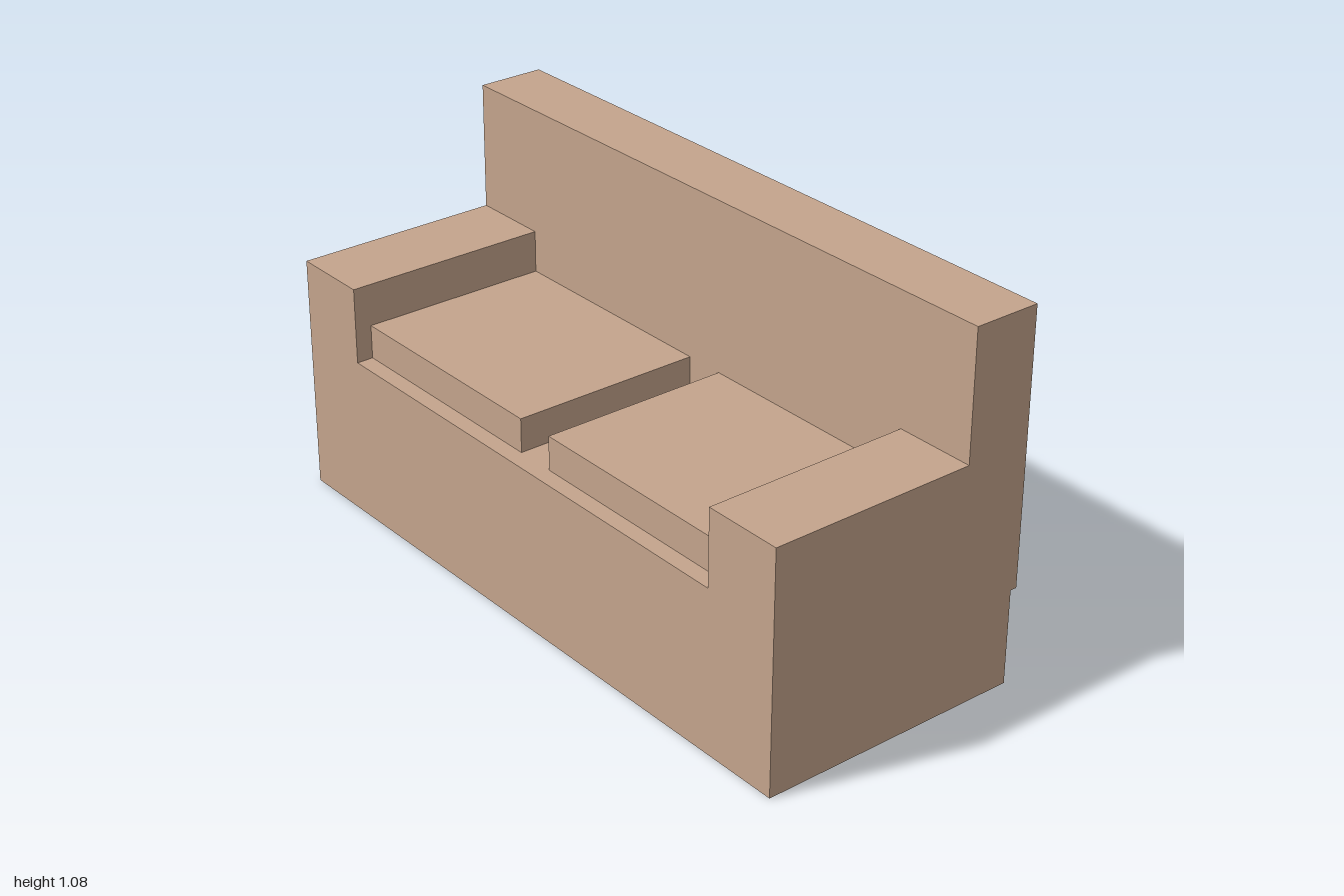
import * as THREE from 'three';

export function createModel() {
  const sofa = new THREE.Group();
  sofa.name = 'sofa';
  const fabric = new THREE.MeshStandardMaterial({ color: 0xc4a48c });
  fabric.name = 'tan fabric';

  // Box given by its minimum and maximum corners
  function box(name, [x0, y0, z0], [x1, y1, z1]) {
    const geometry = new THREE.BoxGeometry(x1 - x0, y1 - y0, z1 - z0);
    const mesh = new THREE.Mesh(geometry, fabric);
    mesh.name = name;
    mesh.position.set((x0 + x1) / 2, (y0 + y1) / 2, (z0 + z1) / 2);
    sofa.add(mesh);
  }

  // Solid base, with the backrest overhanging it slightly at the rear
  box('base', [-1, 0, -0.39], [1, 0.48, 0.41]);
  box('backrest', [-1, 0.28, -0.41], [1, 1.08, -0.21]);

  // Armrest and seat cushion on each side
  for (const [side, s] of [['left', 1], ['right', -1]]) {
    const span = (a, b) => (s > 0 ? [a, b] : [-b, -a]);
    const [a0, a1] = span(0.76, 1);
    box(side + 'Armrest', [a0, 0.48, -0.21], [a1, 0.705, 0.41]);
    const [c0, c1] = span(0.06, 0.76);
    box(side + 'Cushion', [c0, 0.48, -0.21], [c1, 0.58, 0.36]);
  }
  return sofa;
}
